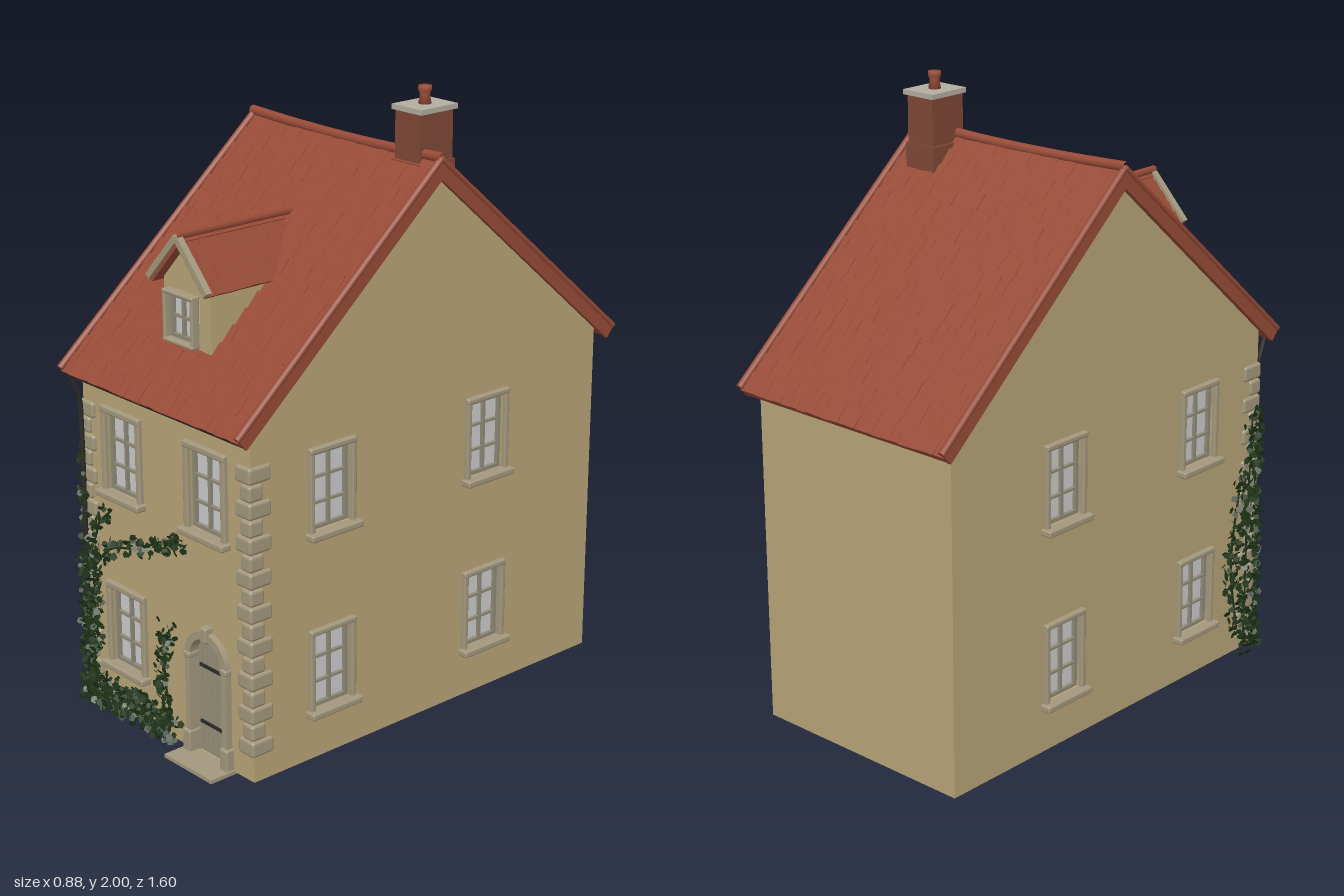
import * as THREE from 'three';
import { mergeGeometries } from 'three/addons/utils/BufferGeometryUtils.js';
import { RoundedBoxGeometry } from 'three/addons/geometries/RoundedBoxGeometry.js';

const WALL = 0xb8a478, STONE = 0xa3987d, TILE = 0x984b37, GLASS = 0xbfbfc3, FRAME = 0x8f8a78,
  DARK = 0x2c2b28, IVY = 0x1f3518, BRICK = 0x7f4836, WOOD = 0x97907a, INNER = 0x8f7f72;
const X0 = -0.395, X1 = 0.405, CX = 0.005, Z0 = -0.735, Z1 = 0.70, BASE = 0.018, T = 0.04;
const RIDGE_Y = 1.805, RIDGE_Z = -0.017, SLOPE = Math.atan2(0.68, 0.785);

let seed = 7;
const rnd = () => (seed = (seed * 16807) % 2147483647) / 2147483647;
const jit = (a) => (rnd() - 0.5) * 2 * a;

const box = (w, h, d, x = 0, y = 0, z = 0) => new THREE.BoxGeometry(w, h, d).translate(x, y, z);
const stone = (w, h, d, x, y, z, r = 0.006) => new RoundedBoxGeometry(w, h, d, 2, r).translate(x, y, z);
const tube = (pts, r, seg = 24) => new THREE.TubeGeometry(
  new THREE.CatmullRomCurve3(pts.map((p) => new THREE.Vector3(...p))), seg, r, 8);
const poly = (pts) => new THREE.Shape(pts.map((p) => new THREE.Vector2(...p)));
const rect = (x, y, w, h) => poly([[x - w / 2, y - h / 2], [x + w / 2, y - h / 2], [x + w / 2, y + h / 2], [x - w / 2, y + h / 2]]);
const extrude = (shape, depth) => new THREE.ExtrudeGeometry(shape, { depth, bevelEnabled: false, curveSegments: 16 });

function mesh(name, geoms, color, side = THREE.FrontSide) {
  const list = [].concat(geoms).map((g) => (g.index ? g.toNonIndexed() : g));
  const m = new THREE.Mesh(mergeGeometries(list), new THREE.MeshStandardMaterial({ color, side }));
  m.name = name;
  return m;
}
function group(name, ...children) {
  const g = new THREE.Group();
  g.name = name;
  return g.add(...children);
}

// Window centred on its opening, facing +z, wall surface at z = 0
function makeWindow(w, h, rows, rim, sill = true) {
  const surround = [
    stone(rim, h + rim * 2, 0.03, -w / 2 - rim / 2, 0, 0),
    stone(rim, h + rim * 2, 0.03, w / 2 + rim / 2, 0, 0),
    stone(w + rim * 2, rim, 0.034, 0, h / 2 + rim / 2, 0),
  ];
  if (sill) surround.push(stone(w + rim * 2 + 0.02, 0.022, 0.055, 0, -h / 2 - 0.011, 0.008));
  else surround.push(stone(w + rim * 2, rim, 0.034, 0, -h / 2 - rim / 2, 0));
  const bars = [box(0.010, h, 0.012, 0, 0, -0.014)];
  for (const s of [-1, 1]) {
    bars.push(box(0.012, h, 0.014, s * (w / 2 - 0.006), 0, -0.014));
    bars.push(box(w, 0.012, 0.014, 0, s * (h / 2 - 0.006), -0.014));
  }
  for (let i = 1; i < rows; i++) bars.push(box(w, 0.008, 0.012, 0, -h / 2 + (h * i) / rows, -0.014));
  return group('window', mesh('windowSurround', surround, STONE), mesh('windowBars', bars, FRAME),
    mesh('windowGlass', box(w, h, 0.006, 0, 0, -0.022), GLASS));
}

// Overlapping tiles on a slab: x across, z down the slope, y outwards
function roofSlope(w, len, rows, cols, thick) {
  const parts = [box(w, thick, len, 0, -thick / 2 - 0.01, len / 2)], p = len / rows;
  for (let r = 0; r < rows; r++) for (let c = 0; c < cols; c++) {
    const g = box(w / cols - 0.0005, 0.010, p * 1.15 + jit(0.003), 0, 0, 0);
    g.rotateX(0.12 + jit(0.025)).translate(-w / 2 + (c + 0.5) * w / cols, -0.007 + jit(0.001), (r + 0.5) * p);
    parts.push(g);
  }
  return mergeGeometries(parts);
}

function makeDoor(x) {
  const y0 = BASE, sp = 0.345, R = 0.098, r = 0.074;
  const s = new THREE.Shape();
  s.moveTo(-R, y0).lineTo(-R, sp).absarc(0, sp, R, Math.PI, 0, true).lineTo(R, y0);
  s.lineTo(r, y0).lineTo(r, sp).absarc(0, sp, r, 0, Math.PI, false).lineTo(-r, y0);
  const frame = [extrude(s, 0.034).translate(0, 0, -0.014), stone(0.028, 0.05, 0.045, 0, sp + 0.092, 0.006)];
  for (const k of [-1, 1]) frame.push(stone(0.036, 0.075, 0.05, k * 0.088, y0 + 0.0375, 0.004),
    stone(0.03, 0.02, 0.042, k * 0.086, sp, 0.004));
  const planks = [];
  for (let i = -3; i <= 3; i++) {
    const px = i * 0.0222, h = sp + Math.sqrt(0.0064 - px * px) - y0;
    planks.push(box(0.0195, h, 0.014, px, y0 + h / 2, -0.022));
  }
  const iron = [0.12, 0.31].map((y) => box(0.13, 0.010, 0.006, 0, y, -0.013));
  iron.push(box(0.15, 0.38, 0.004, 0, 0.21, -0.03), new THREE.SphereGeometry(0.008, 10, 8).translate(0.05, 0.21, -0.01));
  const d = group('door', mesh('doorSurround', frame, STONE), mesh('doorPlanks', planks, WOOD), mesh('doorIronwork', iron, DARK),
    mesh('doorStep', box(0.225, 0.012, 0.10, 0, 0.018, 0.045), STONE));
  d.position.set(x, 0, Z1);
  return d;
}

// Leaves scattered along paths of [across, up] points; put() places a leaf on its wall
function ivy(name, paths, put) {
  const leaves = [], stems = [];
  for (const { pts, spread, n, out } of paths) {
    const curve = new THREE.CatmullRomCurve3(pts.map(([a, b]) => new THREE.Vector3(a, b, 0.006)));
    stems.push(new THREE.TubeGeometry(curve, 20, 0.004, 5));
    for (let i = 0; i < n; i++) {
      const p = curve.getPoint(rnd());
      const g = new THREE.CircleGeometry(0.008 + rnd() * 0.006, 5).rotateX(jit(0.9)).rotateY(jit(0.9)).rotateZ(jit(3));
      leaves.push(g.translate(p.x + jit(spread), Math.max(0.012, p.y + jit(spread)), 0.006 + rnd() * out));
    }
  }
  const g = group(name, mesh('ivyLeaves', leaves, IVY, THREE.DoubleSide), mesh('ivyStems', stems, IVY));
  put(g);
  return g;
}

export function createModel() {
  const model = group('house');

  // Walls with openings
  const frontWins = [[-0.198, 0.885], [0.205, 0.885], [-0.198, 0.305]];
  const sideWins = [[0.393, 0.885], [-0.25, 0.885], [0.393, 0.305], [-0.25, 0.305]];
  const W = 0.15, H = 0.25, SW = 0.145, SH = 0.245, doorX = 0.205;
  const front = poly([[X0, BASE], [X1, BASE], [X1, 1.14], [X0, 1.14]]);
  for (const [x, y] of frontWins) front.holes.push(rect(x, y, W, H));
  const arch = new THREE.Path();
  arch.moveTo(doorX - 0.08, BASE + 0.002).lineTo(doorX + 0.08, BASE + 0.002).lineTo(doorX + 0.08, 0.345);
  arch.absarc(doorX, 0.345, 0.08, 0, Math.PI, false);
  front.holes.push(arch);
  const side = poly([[Z0, BASE], [Z1, BASE], [Z1, 1.135], [RIDGE_Z, 1.765], [Z0, 1.135]]);
  for (const [z, y] of sideWins) side.holes.push(rect(z, y, SW, SH));
  const sideWall = (x) => extrude(side, T).rotateY(-Math.PI / 2).translate(x, 0, 0);
  model.add(mesh('walls', [
    extrude(front, T).translate(0, 0, Z1 - T),
    box(X1 - X0, 1.14 - BASE, T, CX, (1.14 + BASE) / 2, Z0 + T / 2),
    sideWall(X1), sideWall(X0 + T),
  ], WALL));

  // Rooms inside the open base
  model.add(mesh('interior', [
    box(0.72, 0.02, 1.36, CX, 0.42, -0.017), box(0.72, 0.02, 0.44, CX, 0.08, 0.44),
    box(0.72, 0.36, 0.03, CX, 0.24, 0.21), box(0.03, 0.36, 0.5, CX, 0.24, -0.05), box(0.36, 0.36, 0.03, 0.18, 0.24, -0.3),
  ], INNER));

  // Windows
  for (const [x, y] of frontWins) {
    const w = makeWindow(W, H, 3, 0.022);
    w.position.set(x, y, Z1);
    model.add(w);
  }
  for (const s of [-1, 1]) for (const [z, y] of sideWins) {
    const w = makeWindow(SW, SH, 3, 0.019);
    w.position.set(s > 0 ? X1 : X0, y, z);
    w.rotation.y = s * Math.PI / 2;
    model.add(w);
  }
  model.add(makeDoor(doorX));

  // Corner stones
  const quoins = [];
  for (let i = 0; i < 17; i++) for (const s of [-1, 1]) {
    const a = i % 2 ? 0.048 : 0.07, b = i % 2 ? 0.055 : 0.085;
    const edge = (s > 0 ? X1 : X0) + s * 0.009;
    quoins.push(stone(a, 0.052, b, edge - s * a / 2, 0.128 + i * 0.0543, Z1 + 0.012 - b / 2, 0.01));
  }
  model.add(mesh('cornerStones', quoins, STONE));

  // Main roof
  const roofW = 0.845, roofs = [];
  for (const [len, turn] of [[1.035, 0], [1.03, Math.PI]]) {
    const parts = [roofSlope(roofW, len, 16, 24, 0.03)];
    for (const s of [-1, 1]) parts.push(box(0.014, 0.05, len, s * roofW / 2, -0.02, len / 2),
      new THREE.CylinderGeometry(0.011, 0.011, len, 8).rotateX(Math.PI / 2).translate(s * roofW / 2, 0.002, len / 2));
    roofs.push(mergeGeometries(parts.map((g) => g.toNonIndexed()))
      .rotateX(SLOPE).rotateY(turn).translate(CX, RIDGE_Y, RIDGE_Z));
  }
  model.add(mesh('roof', roofs, TILE));
  model.add(mesh('ridgeTiles', tube([[-0.425, 1.812, RIDGE_Z], [-0.2, 1.804, RIDGE_Z], [0.1, 1.802, RIDGE_Z], [0.435, 1.812, RIDGE_Z]], 0.016), TILE));

  // Chimney
  model.add(group('chimney',
    mesh('chimneyStack', [box(0.105, 0.27, 0.135, 0.308, 1.8, -0.062), box(0.12, 0.09, 0.145, 0.306, 1.735, -0.062)], BRICK),
    mesh('chimneyCap', box(0.125, 0.016, 0.15, 0.308, 1.938, -0.064), 0xb3ada0),
    mesh('chimneyPot', new THREE.LatheGeometry([[0, 0], [0.02, 0], [0.015, 0.03], [0.02, 0.042], [0.02, 0.056], [0, 0.056]]
      .map((p) => new THREE.Vector2(...p)), 16).translate(0.308, 1.944, -0.064), TILE)));

  // Dormer
  const dAng = Math.atan2(0.145, 0.135), dLen = 0.2, tilt = [], boards = [];
  for (const s of [-1, 1]) {
    tilt.push(roofSlope(0.45, dLen, 5, 13, 0.012).rotateX(dAng).rotateY(s * Math.PI / 2).translate(0.006, 1.608, 0.41));
    boards.push(box(0.02, dLen, 0.022, 0, -dLen / 2, 0).rotateZ(s * (Math.PI / 2 - dAng)).translate(0.006, 1.606, 0.632));
  }
  const dWin = makeWindow(0.115, 0.135, 2, 0.014, false);
  dWin.position.set(0.006, 1.358, 0.612);
  model.add(group('dormer',
    mesh('dormerWalls', extrude(poly([[-0.104, 1.262], [0.116, 1.262], [0.116, 1.47], [0.006, 1.585], [-0.104, 1.47]]), 0.38).translate(0, 0, 0.22), WALL),
    mesh('dormerRoof', tilt, TILE), mesh('dormerBoards', boards, STONE),
    mesh('dormerRidge', tube([[0.006, 1.61, 0.2], [0.006, 1.61, 0.642]], 0.013), TILE), dWin));
  // bring the dormer glass clear of its wall
  dWin.position.z += 0.014;

  // Gutter and downpipe
  model.add(mesh('gutter', [
    tube([[-0.41, 1.117, 0.748], [0.42, 1.117, 0.748]], 0.012),
    tube([[-0.385, 1.115, 0.75], [-0.385, 1.08, 0.74], [-0.385, 1.03, 0.722], [-0.385, 0.95, 0.718], [-0.385, 0.5, 0.718], [-0.385, 0.02, 0.718]], 0.008, 48),
  ], DARK));

  // Climbing ivy on the front and the left-hand corner
  model.add(ivy('frontIvy', [
    { pts: [[-0.37, 0.02], [-0.365, 0.25], [-0.36, 0.5]], spread: 0.045, n: 420, out: 0.035 },
    { pts: [[-0.385, 0.5], [-0.39, 0.86]], spread: 0.02, n: 90, out: 0.02 },
    { pts: [[-0.38, 0.06], [-0.15, 0.07], [0.03, 0.07]], spread: 0.055, n: 480, out: 0.04 },
    { pts: [[0.02, 0.08], [-0.01, 0.24], [0.02, 0.39]], spread: 0.035, n: 110, out: 0.018 },
    { pts: [[-0.35, 0.48], [-0.27, 0.56], [-0.12, 0.61], [0.0, 0.67], [0.11, 0.69]], spread: 0.032, n: 130, out: 0.016 },
    { pts: [[-0.35, 0.5], [-0.33, 0.62], [-0.26, 0.69]], spread: 0.022, n: 45, out: 0.015 },
  ], (g) => g.position.set(0, 0, Z1 + 0.003)));
  model.add(ivy('sideIvy', [
    { pts: [[0.66, 0.02], [0.66, 0.45], [0.67, 0.85]], spread: 0.04, n: 380, out: 0.03 },
    { pts: [[0.62, 0.1], [0.58, 0.35], [0.62, 0.65]], spread: 0.045, n: 160, out: 0.02 },
  ], (g) => {
    g.rotation.y = -Math.PI / 2;
    g.position.x = X0 - 0.003;
  }));
  return model;
}
